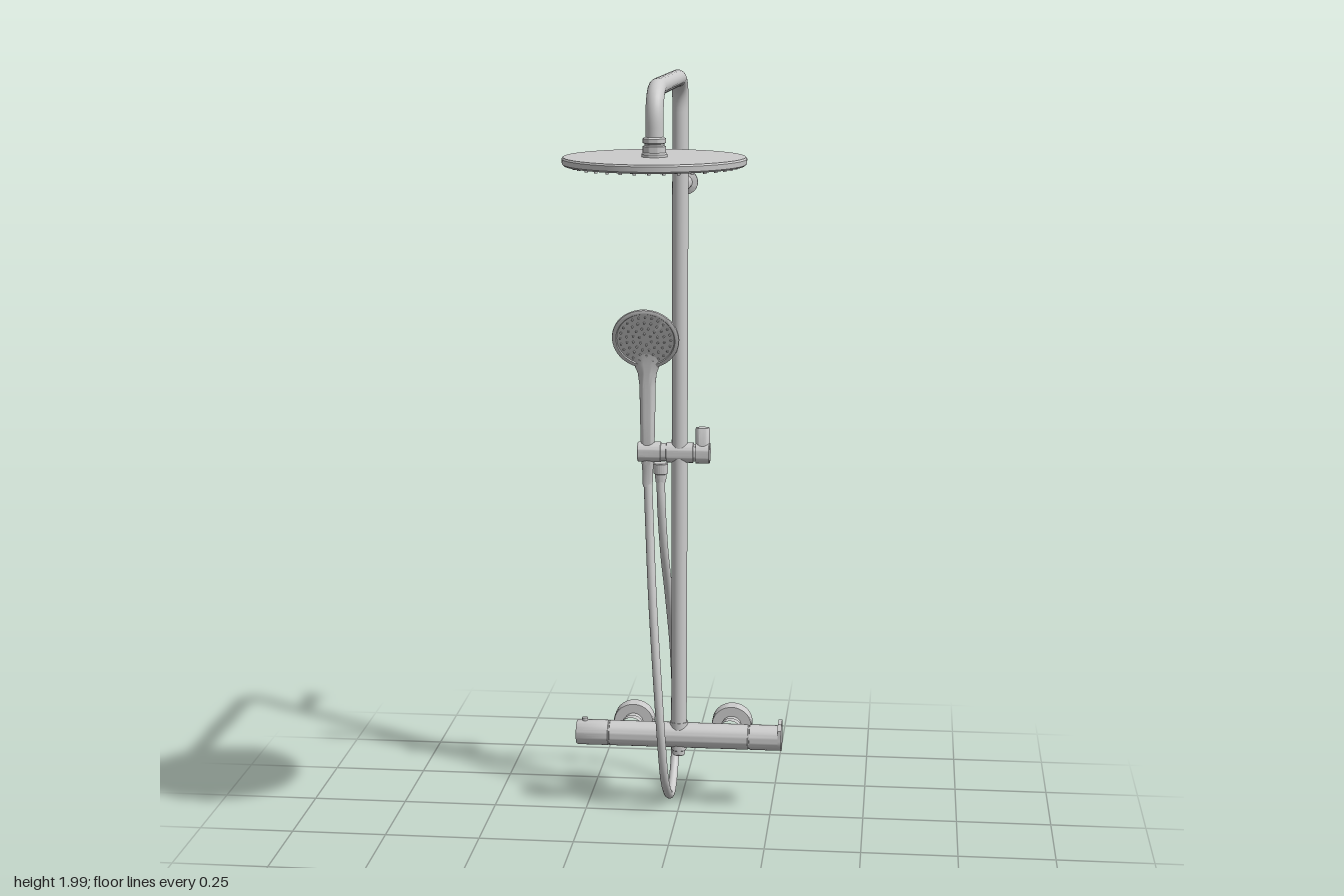
import * as THREE from 'three';
import { mergeGeometries, toCreasedNormals } from 'three/addons/utils/BufferGeometryUtils.js';

const grey = new THREE.MeshStandardMaterial({ color: 0xcccccc });
const V = (x, y, z) => new THREE.Vector3(x, y, z);

function add(parent, name, geometry, x = 0, y = 0, z = 0) {
  const mesh = new THREE.Mesh(geometry, grey);
  mesh.name = name;
  mesh.position.set(x, y, z);
  parent.add(mesh);
  return mesh;
}

// Turned part: profile of [radius, height] from bottom to top
function turned(profile, sides = 40) {
  const points = profile.map(([r, h]) => new THREE.Vector2(r, h));
  return toCreasedNormals(new THREE.LatheGeometry(points, sides), 0.5);
}

// Straight segments joined by rounded corners
function roundedPath(points, radius) {
  const path = new THREE.CurvePath();
  let from = points[0];
  for (let i = 1; i < points.length - 1; i++) {
    const corner = points[i];
    const a = corner.clone().add(points[i - 1].clone().sub(corner).setLength(radius));
    const b = corner.clone().add(points[i + 1].clone().sub(corner).setLength(radius));
    path.add(new THREE.LineCurve3(from, a));
    path.add(new THREE.QuadraticBezierCurve3(a, corner, b));
    from = b;
  }
  path.add(new THREE.LineCurve3(from, points[points.length - 1]));
  return path;
}

// Concentric rings of small studs standing on a plane
function nozzles(rings, spacing, radius, height, y) {
  const studs = [];
  for (let i = 1; i <= rings; i++) {
    for (let k = 0; k < 6 * i; k++) {
      const a = (k / (6 * i)) * Math.PI * 2 + i * 0.4;
      const stud = new THREE.CylinderGeometry(radius, radius, height, 8);
      stud.translate(Math.cos(a) * i * spacing, y, Math.sin(a) * i * spacing);
      studs.push(stud);
    }
  }
  return mergeGeometries(studs);
}

// Upright loft from elliptical sections [y, z, halfWidth, halfDepth], top first
function loft(sections, sides = 28) {
  const n = sections.length - 1;
  const geo = new THREE.CylinderGeometry(1, 1, 1, sides, n);
  const p = geo.attributes.position;
  for (let i = 0; i < p.count; i++) {
    const [y, z, w, d] = sections[Math.round((0.5 - p.getY(i)) * n)];
    p.setXYZ(i, p.getX(i) * w, y, z + p.getZ(i) * d);
  }
  return toCreasedNormals(geo, 0.7);
}

export function createModel() {
  const model = new THREE.Group();
  model.name = 'showerColumn';

  // Riser pipe and overhead arm
  const armPath = roundedPath([
    V(0, 0.2, -0.283), V(0, 1.972, -0.311), V(0, 1.979, 0.317), V(0, 1.84, 0.317)], 0.085);
  add(model, 'riserPipe', new THREE.TubeGeometry(armPath, 200, 0.021, 24));

  // Overhead shower
  const overhead = new THREE.Group();
  overhead.name = 'overheadShower';
  overhead.position.set(0, 1.803, 0.317);
  model.add(overhead);
  add(overhead, 'overheadPlate', turned([
    [0, 0], [0.209, 0], [0.214, 0.004], [0.215, 0.016], [0.212, 0.02], [0, 0.02]], 72));
  add(overhead, 'overheadCollar', turned([
    [0.03, 0.018], [0.03, 0.026], [0.027, 0.03], [0.027, 0.044], [0.023, 0.046],
    [0.023, 0.05], [0.027, 0.052], [0.027, 0.062], [0.02, 0.066]]));
  add(overhead, 'overheadNozzles', nozzles(6, 0.032, 0.004, 0.006, -0.002));

  // Upper wall bracket
  const bracket = add(model, 'wallBracket', turned([
    [0, 0], [0.019, 0], [0.019, 0.132], [0.033, 0.136], [0.033, 0.143], [0, 0.143]]), 0, 1.69, -0.306);
  bracket.rotation.x = -Math.PI / 2;

  // Thermostatic valve
  const valve = new THREE.Group();
  valve.name = 'valve';
  valve.position.set(0, 0.214, -0.288);
  model.add(valve);
  const body = add(valve, 'valveBody', turned([
    [0, -0.278], [0.032, -0.278], [0.034, -0.274], [0.034, -0.192], [0.032, -0.191], [0.032, -0.188],
    [0.034, -0.187], [0.034, 0.187], [0.032, 0.188], [0.032, 0.191], [0.034, 0.192], [0.034, 0.27], [0, 0.27]]));
  body.rotation.z = -Math.PI / 2;
  add(valve, 'temperatureButton', new THREE.CylinderGeometry(0.008, 0.008, 0.012, 16), -0.256, 0.035, 0);
  add(valve, 'riserCollar', new THREE.CylinderGeometry(0.024, 0.024, 0.03, 28), 0, 0.025, 0.003);
  add(valve, 'hoseOutlet', turned([
    [0, -0.054], [0.015, -0.054], [0.017, -0.051], [0.017, -0.041], [0.02, -0.039], [0.02, -0.025]]), 0, 0, 0.004);

  // Flow lever plate on the left end
  const leverShape = new THREE.Shape();
  leverShape.moveTo(0.034, 0);
  leverShape.lineTo(0.034, 0.03);
  leverShape.lineTo(0.022, 0.045);
  leverShape.lineTo(-0.022, 0.045);
  leverShape.lineTo(-0.034, 0.03);
  leverShape.lineTo(-0.034, 0);
  leverShape.absarc(0, 0, 0.034, Math.PI, Math.PI * 2, false);
  const lever = add(valve, 'flowLever', new THREE.ExtrudeGeometry(leverShape, {
    depth: 0.01, bevelEnabled: false, curveSegments: 20 }), 0.268, 0, 0);
  lever.rotation.y = Math.PI / 2;

  // Wall connections
  for (const side of [-1, 1]) {
    const union = add(valve, side < 0 ? 'rightWallUnion' : 'leftWallUnion', turned([
      [0.044, 0.022], [0.035, 0.032], [0.031, 0.042], [0.03, 0.07], [0.026, 0.071], [0.026, 0.098],
      [0.053, 0.098], [0.055, 0.101], [0.055, 0.136], [0.053, 0.139], [0, 0.139]]), side * 0.135, 0, 0);
    // flattened so the flare stays within the valve body's height
    union.rotation.x = -Math.PI / 2;
    union.scale.z = 0.94;
  }

  // Sliding holder
  const slider = new THREE.Group();
  slider.name = 'sliderHolder';
  slider.position.set(0, 0.993, -0.298);
  model.add(slider);
  const clamp = add(slider, 'sliderClamp', turned([
    [0, -0.111], [0.025, -0.111], [0.027, -0.108], [0.027, -0.05], [0.024, -0.049], [0.024, -0.035],
    [0.027, -0.034], [0.027, 0.036], [0.023, 0.037], [0.023, 0.042], [0.028, 0.043],
    [0.028, 0.078], [0.026, 0.08], [0, 0.08]]));
  clamp.rotation.z = -Math.PI / 2;
  add(slider, 'clampLever', loft([
    [0.068, 0, 0.017, 0.012], [0.064, 0, 0.019, 0.014], [0.01, 0, 0.019, 0.02]]), 0.061, 0, 0);

  // Hand shower
  const hand = new THREE.Group();
  hand.name = 'handShower';
  hand.position.set(-0.085, 0, 0);
  model.add(hand);
  add(hand, 'handShowerHandle', loft([
    [1.29, -0.262, 0.06, 0.006], [1.255, -0.278, 0.05, 0.011], [1.23, -0.285, 0.035, 0.015],
    [1.205, -0.291, 0.025, 0.018], [1.17, -0.295, 0.021, 0.02], [1.08, -0.298, 0.02, 0.02],
    [0.965, -0.298, 0.017, 0.017], [0.955, -0.298, 0.015, 0.015], [0.9, -0.296, 0.013, 0.013]]));
  const head = new THREE.Group();
  head.name = 'handShowerHead';
  head.position.set(0, 1.302, -0.252);
  head.rotation.x = 1.95;
  hand.add(head);
  add(head, 'headShell', turned([
    [0, -0.024], [0.03, -0.022], [0.06, -0.016], [0.08, -0.008], [0.088, 0], [0.087, 0.004],
    [0.083, 0.006], [0.077, 0.006], [0.075, 0.003], [0, 0.003]], 48));
  add(head, 'headNozzles', nozzles(4, 0.0165, 0.003, 0.005, 0.004));

  // Flexible hose and its loose end connector
  const hosePath = new THREE.CatmullRomCurve3([
    V(-0.085, 0.93, -0.297), V(-0.079, 0.8, -0.283), V(-0.067, 0.6, -0.246), V(-0.05, 0.37, -0.213),
    V(-0.04, 0.22, -0.209), V(-0.034, 0.09, -0.25), V(-0.03, 0.02, -0.36), V(-0.03, 0.08, -0.47),
    V(-0.031, 0.22, -0.515), V(-0.034, 0.39, -0.488), V(-0.041, 0.57, -0.42), V(-0.048, 0.705, -0.365),
    V(-0.053, 0.84, -0.338), V(-0.055, 0.92, -0.34)]);
  add(model, 'hose', new THREE.TubeGeometry(hosePath, 160, 0.0115, 16));
  add(model, 'hoseConnector', turned([
    [0, 0], [0.014, 0], [0.016, 0.022], [0.02, 0.024], [0.02, 0.05], [0.018, 0.052], [0, 0.052]], 24),
  -0.055, 0.902, -0.342);

  return model;
}
